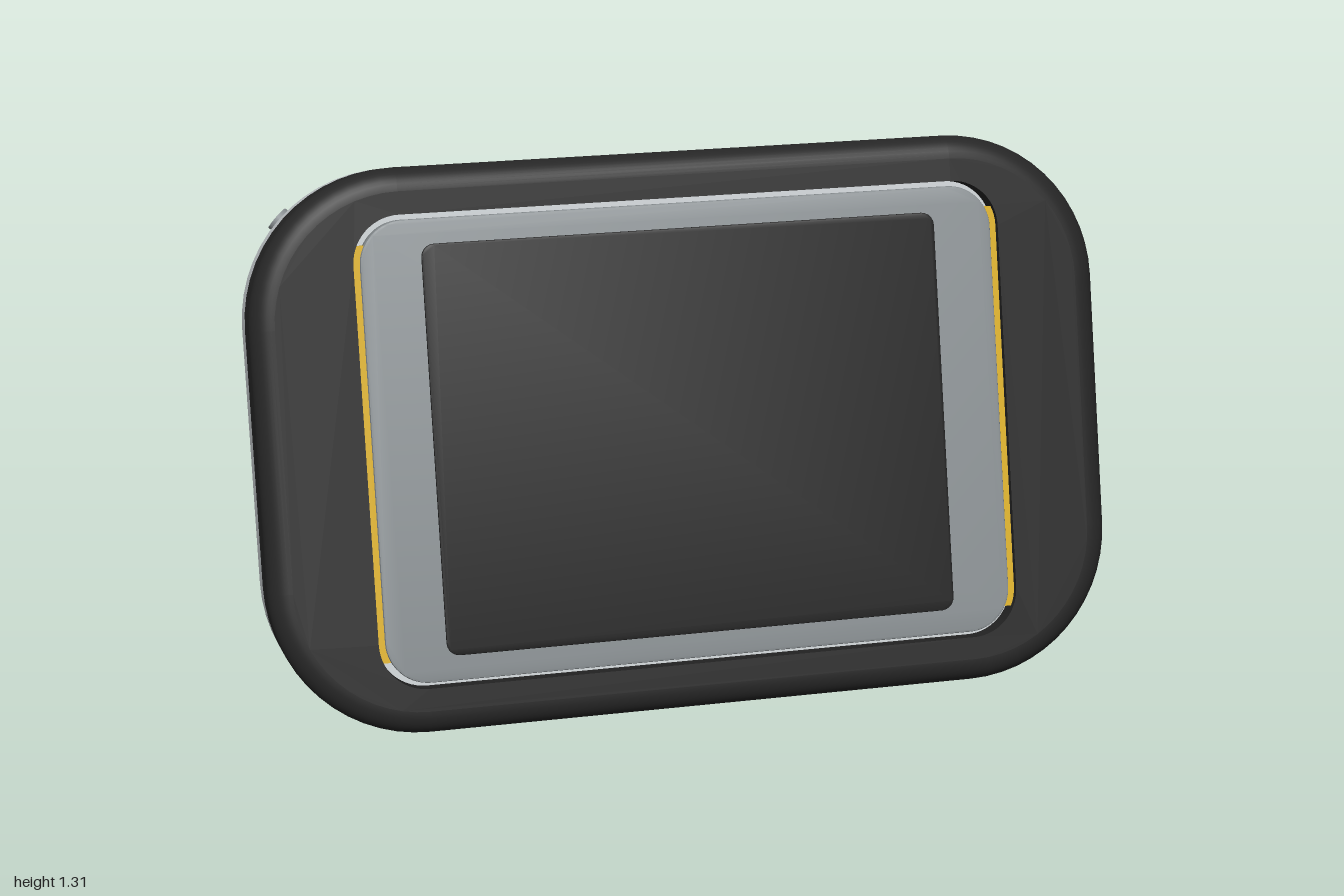
import * as THREE from 'three';
import { toCreasedNormals } from 'three/addons/utils/BufferGeometryUtils.js';

const W = 2, H = 1.295, R = 0.35;          // body outline
const FRONT = 0.166, BACK = -0.245;        // faces measured from the seam
const TILT = -16 * Math.PI / 180;

const mat = (name, color) => {
  const m = new THREE.MeshStandardMaterial({ color });
  m.name = name;
  return m;
};

// Counter-clockwise rounded rectangle
function outline(w, h, r, seg = 14) {
  const pts = [];
  [[1, 1], [-1, 1], [-1, -1], [1, -1]].forEach(([sx, sy], k) => {
    for (let i = 0; i <= seg; i++) {
      const a = (k + i / seg) * Math.PI / 2;
      pts.push(new THREE.Vector2(sx * (w / 2 - r) + r * Math.cos(a), sy * (h / 2 - r) + r * Math.sin(a)));
    }
  });
  return pts;
}

const inset = (d) => outline(W - 2 * d, H - 2 * d, R - d);

// Open shell through [inset, z] sections, ordered from low to high z
function shell(sections) {
  const pos = [], idx = [];
  const n = inset(0).length;
  sections.forEach(([d, z]) => inset(d).forEach((p) => pos.push(p.x, p.y, z)));
  for (let j = 0; j < sections.length - 1; j++) {
    for (let i = 0; i < n; i++) {
      const a = j * n + i, b = j * n + (i + 1) % n;
      idx.push(a, b, b + n, a, b + n, a + n);
    }
  }
  const g = new THREE.BufferGeometry();
  g.setAttribute('position', new THREE.Float32BufferAttribute(pos, 3));
  g.setIndex(idx);
  g.computeVertexNormals();
  return g;
}

// Slab with optional holes, starting at z
function slab(points, z, depth, holes = [], bevel = 0) {
  const s = new THREE.Shape(points);
  s.holes = holes.map((h) => new THREE.Path(h));
  const g = new THREE.ExtrudeGeometry(s, {
    depth: depth - bevel, bevelEnabled: bevel > 0, bevelSize: bevel, bevelThickness: bevel,
    bevelOffset: -bevel, bevelSegments: 2,
  });
  g.translate(0, 0, z);
  return toCreasedNormals(g, 0.6);
}

export function createModel() {
  const black = mat('black casing', 0x262626);
  const glass = mat('screen black', 0x232323);
  const silver = mat('light grey casing', 0xc8cdd0);
  const grey = mat('bezel grey', 0x8a9093);
  const yellow = mat('yellow', 0xd9ae24);

  const model = new THREE.Group();
  model.name = 'tabletDisplay';
  const body = new THREE.Group();
  body.name = 'body';
  body.position.set(0, 0.6575, 0.311);
  body.rotation.x = TILT;
  model.add(body);

  const add = (parent, name, geometry, material, x = 0, y = 0, z = 0) => {
    const m = new THREE.Mesh(geometry, material);
    m.name = name;
    m.position.set(x, y, z);
    parent.add(m);
    return m;
  };

  // Casing halves with rounded edges
  const fr = 0.055, br = 0.155, steps = 10;
  const frontRows = [[0, 0]], backRows = [];
  for (let i = 0; i <= steps; i++) {
    const a = i / steps * Math.PI / 2;
    frontRows.push([fr * (1 - Math.cos(a)), FRONT - fr * (1 - Math.sin(a))]);
    backRows.push([br * (1 - Math.sin(a)), BACK + br * (1 - Math.cos(a))]);
  }
  backRows.push([0, 0]);
  add(body, 'frontCasing', shell(frontRows), black);
  add(body, 'backCasing', shell(backRows), silver);

  // Front frame, bezel panel and screen
  add(body, 'frontFrame', slab(inset(fr), 0.116, FRONT - 0.116, [outline(1.52, 1.08, 0.11)]), black);
  add(body, 'recessFloor', slab(outline(1.56, 1.12, 0.11), 0.106, 0.01), silver);
  for (const s of [1, -1]) {
    add(body, 'sideAccent', new THREE.BoxGeometry(0.03, 0.95, 0.035), yellow, s * 0.748, 0, 0.1325);
  }
  add(body, 'bezelPanel', slab(outline(1.488, 1.056, 0.1), 0.116, 0.044, [], 0.005), grey);
  add(body, 'screen', slab(outline(1.21, 0.94, 0.03, 5), 0.158, 0.008, [], 0.004), glass);

  // Back panel with concentric grooves cut off near the top and bottom
  const cy = -0.035, grooves = [];
  for (let k = 0; k < 6; k++) {
    const a = 0.34 + k * 0.052, b = a + 0.024;
    const limit = (h) => Math.min(Math.asin(Math.min(1, h / b)), Math.PI / 2 - 0.012);
    const lo = -limit(0.44), hi = limit(0.5);
    for (const s of [1, -1]) {
      const pts = [];
      for (const [r, from, to] of [[b, lo, hi], [a, hi, lo]]) {
        for (let i = 0; i <= 28; i++) {
          const t = from + (to - from) * i / 28;
          pts.push(new THREE.Vector2(s * r * Math.cos(t), cy + r * Math.sin(t)));
        }
      }
      grooves.push(pts);
    }
  }
  add(body, 'backPanel', slab(inset(br), BACK, 0.014, grooves), silver);
  add(body, 'grooveFloor', slab(inset(br), BACK + 0.014, 0.01), silver);

  // Small round sockets on the upper right corner edge
  for (const deg of [10, 60]) {
    const p = deg * Math.PI / 180, q = Math.SQRT1_2;
    const rad = R - br + br * Math.cos(p);
    const dir = new THREE.Vector3(-q * Math.cos(p), q * Math.cos(p), -Math.sin(p));
    const hole = add(body, 'socket', new THREE.CylinderGeometry(0.03, 0.03, 0.012, 24), grey,
      -(W / 2 - R) - q * rad, H / 2 - R + q * rad, BACK + br * (1 - Math.sin(p)));
    hole.quaternion.setFromUnitVectors(new THREE.Vector3(0, 1, 0), dir);
  }

  // Round stand plate with a raised rim
  const profile = [[0.29, -0.01], [0.29, 0.01], [0.285, 0.014], [0.25, 0.014], [0.246, 0.005], [0.236, 0.005],
    [0.232, 0.009], [0, 0.009]].map(([x, y]) => new THREE.Vector2(x, y));
  const plate = add(body, 'standPlate', toCreasedNormals(new THREE.LatheGeometry(profile, 72), 0.5),
    yellow, 0, cy, BACK);
  plate.rotation.x = -Math.PI / 2;

  // Hinge barrel and kickstand leg
  const hinge = add(body, 'hinge', new THREE.CylinderGeometry(0.042, 0.042, 0.25, 32), yellow, 0, 0.194, -0.262);
  hinge.rotation.z = Math.PI / 2;
  const leg = add(model, 'standLeg', slab(outline(0.136, 0.046, 0.018, 6), -0.33, 0.66), yellow, 0, 0.67, -0.312);
  leg.rotation.x = -17.8 * Math.PI / 180;

  return model;
}
